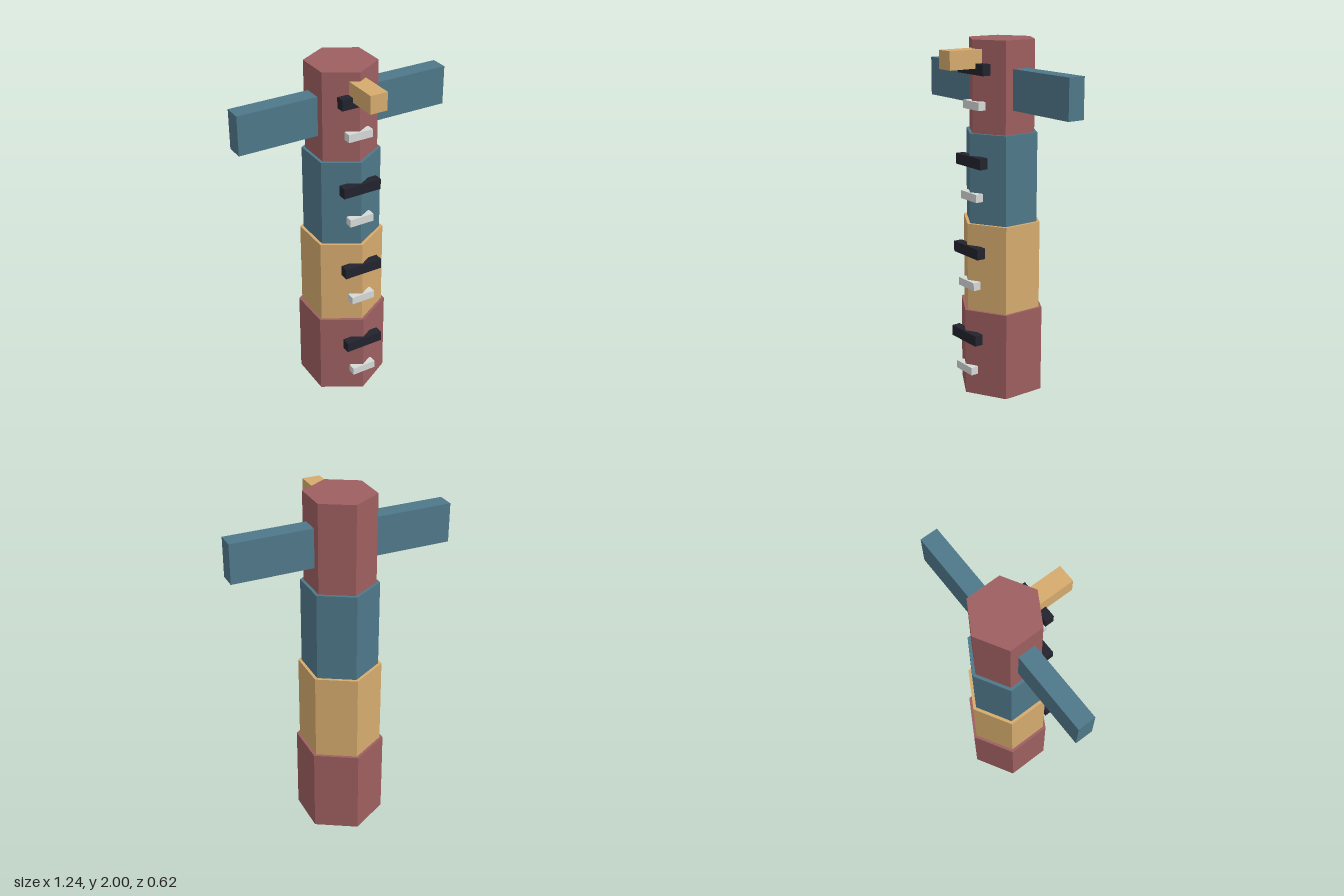
import * as THREE from 'three';

const mat = (name, color) => {
  const m = new THREE.MeshStandardMaterial({ color });
  m.name = name;
  return m;
};

export function createModel() {
  const red = mat('brick red', 0x9e5f60);
  const blue = mat('slate blue', 0x4f788a);
  const gold = mat('sand gold', 0xd6ab6e);
  const dark = mat('near black', 0x23232e);
  const pale = mat('pale grey', 0xd6dad7);

  const model = new THREE.Group();
  model.name = 'totemPole';
  const axisZ = -0.06; // the pole stands behind the centre, balancing the beak

  const add = (parent, name, geometry, material, x, y, z) => {
    const mesh = new THREE.Mesh(geometry, material);
    mesh.name = name;
    mesh.position.set(x, y, z);
    parent.add(mesh);
  };
  const box = (w, h, d) => new THREE.BoxGeometry(w, h, d);

  // Four stacked hexagonal blocks, each with a brow bar and a mouth bar
  const radii = [0.25, 0.232, 0.213, 0.194];
  [red, gold, blue, red].forEach((material, i) => {
    const r = radii[i];
    const section = new THREE.Group();
    section.name = `section${i + 1}`;
    section.position.set(0, i * 0.5, axisZ);
    // toNonIndexed and fresh normals keep the six sides flat
    const hex = new THREE.CylinderGeometry(r, r, 0.5, 6).toNonIndexed();
    hex.computeVertexNormals();
    add(section, 'block', hex, material, 0, 0.25, 0);
    add(section, 'eyeBar', box(0.226, 0.06, 0.05), dark, 0, 0.348, r - 0.012);
    add(section, 'mouthBar', box(0.144, 0.045, 0.045), pale, 0, 0.152, r - 0.012);
    model.add(section);
  });

  // Wings either side of the top block
  for (const [name, side] of [['leftWing', 1], ['rightWing', -1]]) {
    add(model, name, box(0.5, 0.22, 0.1), blue, side * 0.372, 1.74, axisZ);
  }

  // Beak
  add(model, 'beak', box(0.1, 0.1, 0.206), gold, 0, 1.902, 0.208);

  return model;
}
